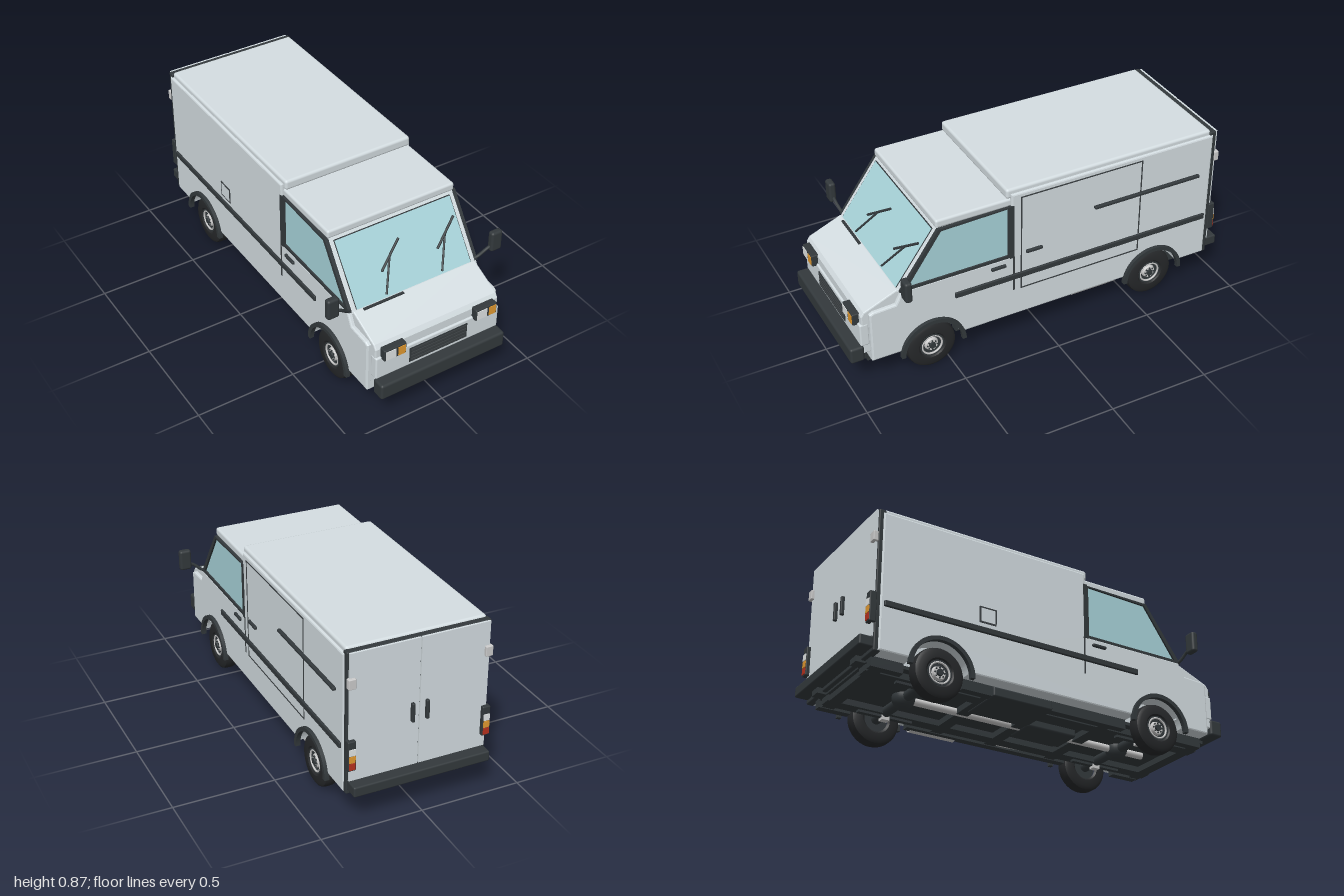
import * as THREE from 'three';
import { RoundedBoxGeometry } from 'three/addons/geometries/RoundedBoxGeometry.js';
import { toCreasedNormals } from 'three/addons/utils/BufferGeometryUtils.js';

const mat = (color) => new THREE.MeshStandardMaterial({ color });
const grey = mat(0xcccccc), paint = mat(0xd4dde1), dark = mat(0x33393c), tyreMat = mat(0x26282a), glass = mat(0xa8d4da);
const amber = mat(0xe39a30), red = mat(0xb8321f), white = mat(0xe2e6e6), lineMat = mat(0x3c4144);

export function createModel() {
  const van = new THREE.Group();
  van.name = 'deliveryVan';

  const add = (name, geo, material, x = 0, y = 0, z = 0, parent = van) => {
    const m = new THREE.Mesh(geo, material);
    m.name = name;
    m.position.set(x, y, z);
    parent.add(m);
    return m;
  };
  // Box given by its limits on each axis; r rounds the edges
  const box = (name, material, [x0, x1], [y0, y1], [z0, z1], r = 0) => {
    const s = [x1 - x0, y1 - y0, z1 - z0];
    const geo = r ? new RoundedBoxGeometry(...s, 2, r) : new THREE.BoxGeometry(...s);
    return add(name, geo, material, (x0 + x1) / 2, (y0 + y1) / 2, (z0 + z1) / 2);
  };
  // Same box on both sides of the van
  const pair = (name, material, [x0, x1], ys, zs, r) => {
    box(name + 'Left', material, [x0, x1], ys, zs, r);
    box(name + 'Right', material, [-x1, -x0], ys, zs, r);
  };
  const poly = (pts) => new THREE.Shape(pts.map((p) => new THREE.Vector2(...p)));
  // Side profile in (z, y), extruded between x0 and x1
  const extrudeX = (name, material, shape, x0, x1, bevel = 0) => {
    const geo = new THREE.ExtrudeGeometry(shape, {
      depth: x1 - x0 - 2 * bevel, curveSegments: 28, bevelEnabled: bevel > 0,
      bevelSize: bevel, bevelThickness: bevel, bevelOffset: -bevel, bevelSegments: 2,
    });
    geo.rotateY(-Math.PI / 2).translate(x1 - bevel, 0, 0);
    return add(name, toCreasedNormals(geo, 0.2), material);
  };
  const rod = (name, material, a, b, r, sides = 16) => {
    const va = new THREE.Vector3(...a), vb = new THREE.Vector3(...b);
    const d = vb.clone().sub(va);
    const m = add(name, new THREE.CylinderGeometry(r, r, d.length(), sides), material);
    m.position.copy(va.add(vb).multiplyScalar(0.5));
    m.quaternion.setFromUnitVectors(new THREE.Vector3(0, 1, 0), d.normalize());
    return m;
  };

  const axles = [0.595, -0.605], wheelY = 0.125;

  // Body with wheel arches
  const body = new THREE.Shape();
  const a = Math.asin(0.03 / 0.15);
  body.moveTo(-0.915, 0.155);
  [...axles].reverse().forEach((z) => {
    body.lineTo(z - 0.15 * Math.cos(a), 0.155);
    body.absarc(z, wheelY, 0.15, Math.PI - a, a, true);
  });
  [[0.9, 0.155], [0.9, 0.42], [0.88, 0.43], [0.77, 0.435], [0.735, 0.502], [0.18, 0.502], [0.18, 0.845], [-0.915, 0.845]]
    .forEach((p) => body.lineTo(...p));
  extrudeX('bodyShell', paint, body, -0.355, 0.355, 0.008);
  axles.forEach((z) => box('wheelWell', paint, [-0.26, 0.26], [0.152, 0.3], [z - 0.155, z + 0.155]));

  // Nose, hood and cab
  extrudeX('nose', paint, poly([[0.72, 0.2], [0.935, 0.2], [0.935, 0.41], [0.92, 0.432], [0.755, 0.502], [0.72, 0.502]]), -0.335, 0.335, 0.006);
  box('frontPanel', paint, [-0.337, 0.337], [0.245, 0.367], [0.9, 0.945], 0.008);
  extrudeX('cab', paint, poly([[0.755, 0.49], [0.54, 0.79], [0.17, 0.79], [0.17, 0.49]]), -0.338, 0.338, 0.004);
  box('cabRoof', paint, [-0.343, 0.343], [0.777, 0.82], [0.17, 0.555], 0.012);
  box('cargoRoof', paint, [-0.342, 0.342], [0.818, 0.87], [-0.908, 0.2], 0.014);

  // Windshield and everything lying on its sloped plane
  const slope = Math.atan2(0.215, 0.3);
  const screenZ = (y) => 0.755 - (y - 0.49) * 0.215 / 0.3;
  const onScreen = (x, y) => [x, y, screenZ(y) + 0.011];
  const screen = (name, material, w, y0, y1, t) => {
    const y = (y0 + y1) / 2;
    const m = add(name, new THREE.BoxGeometry(w, (y1 - y0) / Math.cos(slope), t), material, 0, y, screenZ(y));
    m.rotation.x = -slope;
  };
  screen('windshieldSeal', dark, 0.63, 0.497, 0.766, 0.005);
  screen('windshield', glass, 0.624, 0.5, 0.762, 0.008);
  [0, 0.305].forEach((dx) => {
    rod('wiperArm', dark, onScreen(dx - 0.153, 0.515), onScreen(dx - 0.08, 0.642), 0.005, 8);
    rod('wiperBlade', dark, onScreen(dx - 0.14, 0.6), onScreen(dx - 0.01, 0.692), 0.006, 8);
  });
  box('cowlVent', dark, [-0.285, -0.07], [0.494, 0.502], [0.75, 0.768]);

  // Side windows, dark frames and mirrors
  [1, -1].forEach((s) => {
    const side = (x0, x1) => (s > 0 ? [x0, x1] : [-x1, -x0]);
    const tag = s > 0 ? 'Left' : 'Right';
    const frame = poly([[0.748, 0.497], [0.548, 0.778], [0.185, 0.782], [0.185, 0.497]]);
    frame.holes.push(poly([[0.71, 0.512], [0.535, 0.766], [0.198, 0.775], [0.198, 0.512]]));
    extrudeX('windowFrame' + tag, dark, frame, ...side(0.33, 0.354));
    extrudeX('sideWindow' + tag, glass, poly([[0.722, 0.505], [0.538, 0.77], [0.19, 0.778], [0.19, 0.505]]), ...side(0.33, 0.345));

    const arm = new THREE.CatmullRomCurve3([[0.335, 0.5, 0.735], [0.36, 0.508, 0.74], [0.4, 0.54, 0.75], [0.43, 0.552, 0.75]]
      .map(([x, y, z]) => new THREE.Vector3(s * x, y, z)));
    add('mirrorArm' + tag, new THREE.TubeGeometry(arm, 12, 0.008, 8), dark);
    box('mirror' + tag, dark, side(0.414, 0.475), [0.523, 0.63], [0.735, 0.77], 0.012);

    axles.forEach((z) => {
      // Arch flare
      const flare = new THREE.Shape();
      flare.absarc(z, wheelY, 0.166, 0, Math.PI, false);
      flare.absarc(z, wheelY, 0.146, Math.PI, 0, true);
      extrudeX('archFlare' + tag, dark, flare, ...side(0.35, 0.373));
      // Wheel
      const wheel = new THREE.Group();
      wheel.name = 'wheel' + tag;
      wheel.position.set(s * 0.31, wheelY, z);
      wheel.rotation.z = -s * Math.PI / 2;
      van.add(wheel);
      const lathe = (name, pts, m) => add(name, toCreasedNormals(
        new THREE.LatheGeometry(pts.map((p) => new THREE.Vector2(...p)), 40), 0.6), m, 0, 0, 0, wheel);
      lathe('tyre', [[0.06, -0.03], [0.07, -0.039], [0.105, -0.039], [0.12, -0.03], [0.125, -0.015],
        [0.125, 0.015], [0.12, 0.03], [0.105, 0.039], [0.07, 0.039], [0.06, 0.03]], tyreMat);
      lathe('rim', [[0, -0.02], [0.062, -0.02], [0.062, 0.034], [0.054, 0.034], [0.05, 0.02], [0, 0.02]], dark);
      const ring = add('rimRing', new THREE.TorusGeometry(0.051, 0.005, 8, 36), grey, 0, 0.031, 0, wheel);
      ring.rotation.x = Math.PI / 2;
      add('hubPlate', new THREE.CylinderGeometry(0.03, 0.036, 0.014, 28), grey, 0, 0.026, 0, wheel);
      add('hubCap', new THREE.CylinderGeometry(0.016, 0.018, 0.02, 20), dark, 0, 0.032, 0, wheel);
      for (let i = 0; i < 8; i++) {
        const t = i * Math.PI / 4;
        add('wheelNut', new THREE.CylinderGeometry(0.004, 0.004, 0.01, 6), dark,
          0.024 * Math.cos(t), 0.033, 0.024 * Math.sin(t), wheel);
      }
    });
  });

  // Side trim shared by both sides
  pair('rubStrip', dark, [0.352, 0.365], [0.37, 0.4], [-0.897, 0.477], 0.005);
  pair('pillarStrip', dark, [0.335, 0.358], [0.495, 0.785], [0.168, 0.19]);
  pair('cabDoorSeam', lineMat, [0.35, 0.357], [0.305, 0.5], [0.165, 0.173]);
  pair('cabDoorHandle', dark, [0.352, 0.367], [0.457, 0.473], [0.213, 0.29], 0.005);

  // Sliding door on the left side
  [0.13, -0.515].forEach((z) => box('slidingDoorSeam', lineMat, [0.35, 0.357], [0.305, 0.82], [z - 0.003, z + 0.003]));
  [0.305, 0.82].forEach((y) => box('slidingDoorSeam', lineMat, [0.35, 0.357], [y - 0.003, y + 0.003], [-0.518, 0.133]));
  box('slidingDoorHandle', dark, [0.352, 0.368], [0.502, 0.518], [0.02, 0.107], 0.005);
  box('slidingDoorRail', dark, [0.352, 0.371], [0.632, 0.648], [-0.845, -0.257], 0.005);
  // Fuel flap on the right side
  box('fuelFlapSeam', lineMat, [-0.358, -0.35], [0.422, 0.505], [-0.412, -0.322]);
  box('fuelFlap', paint, [-0.359, -0.35], [0.43, 0.497], [-0.404, -0.33]);

  // Front bumper, grille and headlights
  box('frontBumper', dark, [-0.341, 0.341], [0.163, 0.246], [0.93, 1.0], 0.012);
  box('grille', dark, [-0.158, 0.158], [0.266, 0.347], [0.93, 0.948]);
  for (let i = 0; i < 4; i++) box('grilleSlat', lineMat, [-0.15, 0.15], [0.273 + i * 0.019, 0.284 + i * 0.019], [0.94, 0.952]);
  [-0.249, 0.249].forEach((x) => {
    box('headlightHousing', dark, [x - 0.059, x + 0.059], [0.354, 0.416], [0.92, 0.966], 0.006);
    box('headlight', white, [x - 0.052, x + 0.002], [0.361, 0.408], [0.95, 0.969]);
    box('turnSignal', amber, [x + 0.014, x + 0.052], [0.361, 0.408], [0.95, 0.969]);
  });

  // Rear frame, doors, lamps and bumper
  box('rearFrame', dark, [-0.349, 0.349], [0.15, 0.86], [-0.935, -0.9], 0.006);
  pair('rearDoor', paint, [0.003, 0.34], [0.222, 0.857], [-0.945, -0.92]);
  pair('rearDoorHandle', dark, [0.028, 0.044], [0.45, 0.545], [-0.962, -0.94], 0.005);
  [0.715, 0.33].forEach((y) => pair('doorHinge', grey, [0.315, 0.351], [y - 0.025, y + 0.025], [-0.96, -0.935], 0.004));
  pair('tailLampHousing', dark, [0.314, 0.353], [0.285, 0.435], [-0.964, -0.93], 0.005);
  [red, amber, white].forEach((m, i) =>
    pair('tailLamp', m, [0.319, 0.349], [0.293 + i * 0.036, 0.325 + i * 0.036], [-0.968, -0.95]));
  box('rearBumper', dark, [-0.341, 0.341], [0.168, 0.22], [-1.0, -0.93], 0.008);
  pair('rearBumperBracket', dark, [0.17, 0.23], [0.14, 0.19], [-0.96, -0.88]);

  // Underbody: floor, sills, rails and cross members
  box('floor', dark, [-0.265, 0.265], [0.14, 0.156], [-0.915, 0.935]);
  [[0.75, 0.9], [-0.455, 0.445], [-0.915, -0.755]].forEach((zs) => {
    box('floorPlate', dark, [-0.285, 0.285], [0.147, 0.156], zs);
    pair('sill', dark, [0.245, 0.285], [0.106, 0.156], zs);
  });
  pair('chassisRail', dark, [0.16, 0.225], [0.11, 0.15], [-0.91, 0.92]);
  [0.88, 0.35, 0, -0.3, -0.87].forEach((z) => box('crossMember', dark, [-0.27, 0.27], [0.11, 0.15], [z - 0.03, z + 0.03]));
  box('fuelTank', dark, [-0.3, -0.06], [0.102, 0.15], [-0.3, 0.02], 0.008);
  box('gearbox', dark, [-0.08, 0.08], [0.102, 0.15], [0.02, 0.3], 0.012);

  // Axles, springs, driveshaft and exhaust
  axles.forEach((z) => {
    rod('axle', dark, [-0.28, wheelY, z], [0.28, wheelY, z], 0.026);
    add('differential', new THREE.SphereGeometry(0.055, 24, 16), dark, 0, wheelY + 0.003, z);
    pair('leafSpring', dark, [0.178, 0.202], [0.098, 0.112], [z - 0.14, z + 0.14]);
    pair('springClamp', grey, [0.173, 0.207], [0.085, 0.108], [z - 0.02, z + 0.02]);
  });
  rod('driveshaft', grey, [0, 0.125, 0.75], [0, 0.125, axles[1]], 0.018);
  rod('muffler', grey, [0.285, 0.128, -0.18], [0.285, 0.128, -0.425], 0.027, 24);
  rod('exhaustPipe', grey, [0.21, 0.122, 0.3], [0.285, 0.126, -0.2], 0.01, 10);
  return van;
}
